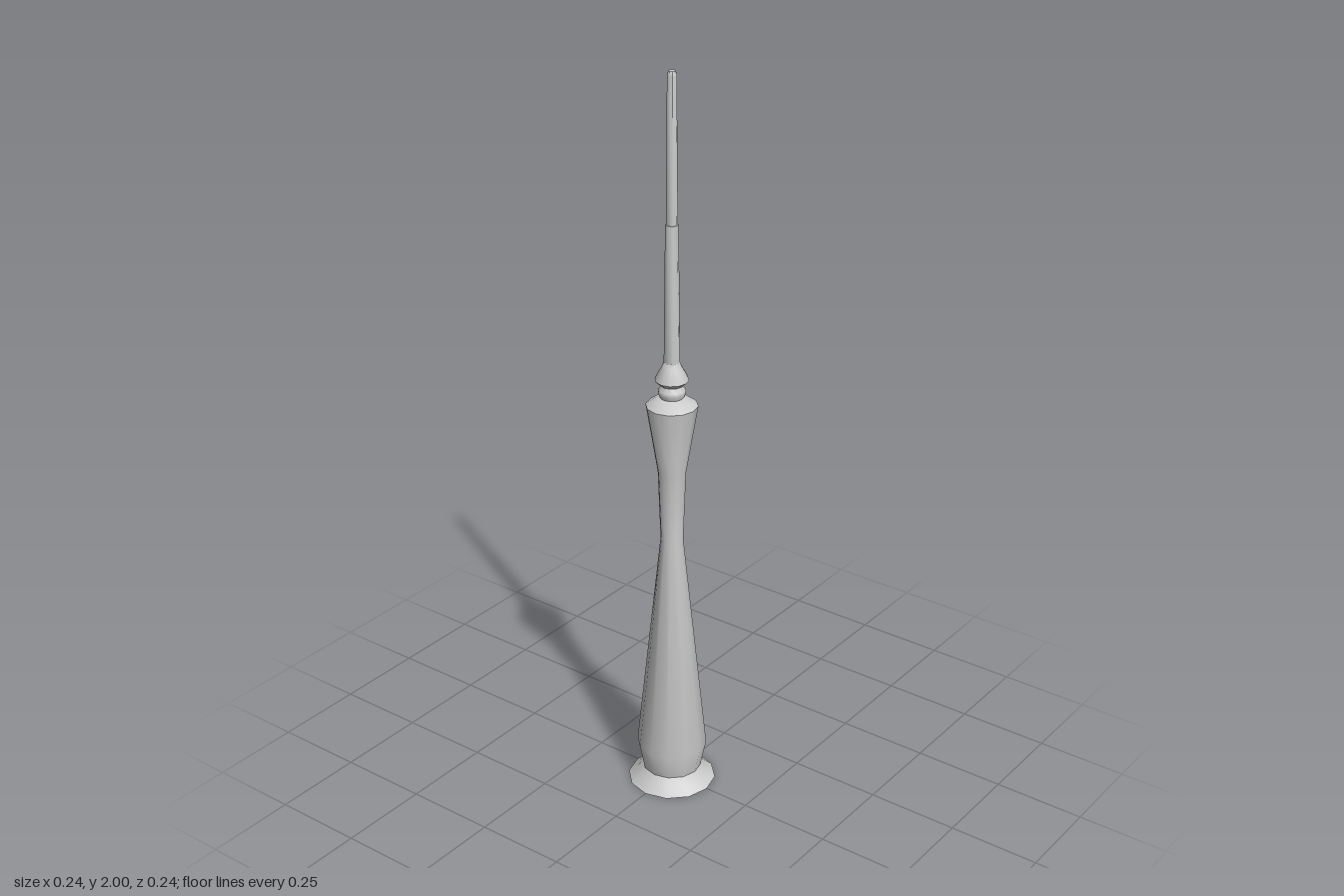
import * as THREE from 'three';
import { toCreasedNormals } from 'three/addons/utils/BufferGeometryUtils.js';

const material = new THREE.MeshStandardMaterial({ color: 0xcccccc, side: THREE.DoubleSide });

// Turned part from [radius, height] pairs, listed bottom to top
function turned(name, profile, sides) {
  const points = profile.map(([r, y]) => new THREE.Vector2(r, y));
  const geometry = toCreasedNormals(new THREE.LatheGeometry(points, sides), 0.8);
  const mesh = new THREE.Mesh(geometry, material);
  mesh.name = name;
  return mesh;
}

export function createModel() {
  const group = new THREE.Group();
  group.name = 'tower';

  // Flared foot, open underneath
  group.add(turned('foot', [[0.12, 0], [0.095, 0.02], [0.08, 0.04]], 12));

  // Tapering shaft, slim waist and flared shoulder
  group.add(turned('shaft', [
    [0.08, 0.04], [0.095, 0.115], [0.03, 0.745], [0.037, 0.94],
    [0.068, 1.13], [0.036, 1.153], [0, 1.153],
  ], 12));

  // Grooved neck with a small collar
  group.add(turned('neck', [
    [0.03, 1.15], [0.036, 1.163], [0.036, 1.172], [0.027, 1.183], [0.027, 1.19],
  ], 12));

  // Bulging cabin below the mast
  group.add(turned('cabin', [
    [0, 1.185], [0.03, 1.187], [0.044, 1.2], [0.042, 1.207], [0.027, 1.235], [0.02, 1.25], [0, 1.25],
  ], 12));

  // Stepped mast
  group.add(turned('lowerMast', [[0.021, 1.24], [0.017, 1.615], [0, 1.62]], 8));
  group.add(turned('upperMast', [[0.015, 1.61], [0.012, 1.99], [0.009, 2], [0, 2]], 8));

  return group;
}
